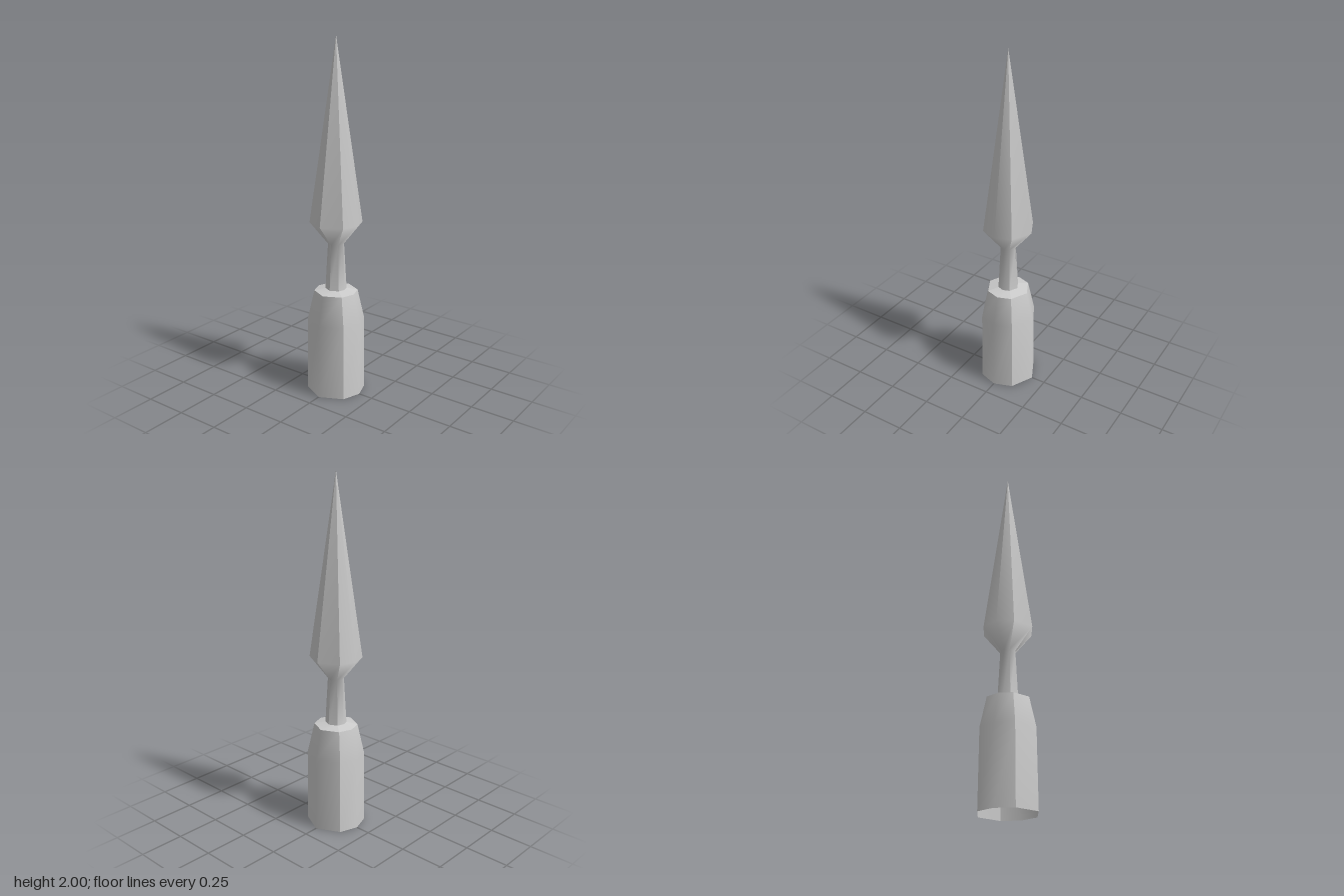
import * as THREE from 'three';
import { mergeGeometries } from 'three/addons/utils/BufferGeometryUtils.js';

// Eight-sided cross-section at radius 1, starting at +x and turning towards +z
const quarter = [[1, 0], [0.62, 0.772], [0, 0.985], [-0.62, 0.772]];
const section = [...quarter, ...quarter.map(([x, z]) => [-x, -z])];

// One smooth strip from corner `from` to corner `to`, swept up a profile of [radius, y]
function strip(profile, from, to) {
  const rows = profile.length;
  const positions = [];
  const index = [];
  for (let c = from; c <= to; c++) {
    const [x, z] = section[c % 8];
    for (const [r, y] of profile) positions.push(x * r, y, z * r);
  }
  for (let c = 0; c < to - from; c++) {
    for (let j = 0; j < rows - 1; j++) {
      const a = c * rows + j;
      const b = a + rows;
      index.push(a, a + 1, b);
      if (profile[j + 1][0] > 0) index.push(a + 1, b + 1, b);
    }
  }
  const geometry = new THREE.BufferGeometry();
  geometry.setAttribute('position', new THREE.Float32BufferAttribute(positions, 3));
  geometry.setIndex(index);
  geometry.computeVertexNormals();
  return geometry;
}

// Closed ring of strips, with a sharp edge at every listed corner
function faceted(name, profile, creases, material) {
  const strips = creases.map((from, i) =>
    strip(profile, from, i + 1 < creases.length ? creases[i + 1] : creases[0] + 8));
  const mesh = new THREE.Mesh(mergeGeometries(strips), material);
  mesh.name = name;
  return mesh;
}

export function createModel() {
  const group = new THREE.Group();
  group.name = 'spearhead';
  const material = new THREE.MeshStandardMaterial({ color: 0xcccccc, side: THREE.DoubleSide });
  const diagonals = [1, 3, 5, 7];
  const bladeEdges = [0, 1, 3, 4, 5, 7];

  // Hollow socket, open at the bottom, with a tapered shoulder
  group.add(faceted('socket', [[0.167, 0], [0.162, 0.43], [0.123, 0.6]], diagonals, material));

  // Shallow collar closing the socket around the neck
  group.add(faceted('collar', [[0.123, 0.6], [0.06, 0.613]], diagonals, material));

  // Slim neck flaring into the long pointed blade
  group.add(faceted('neckAndBlade',
    [[0.06, 0.613], [0.045, 0.875], [0.147, 1], [0, 2]], bladeEdges, material));

  return group;
}
